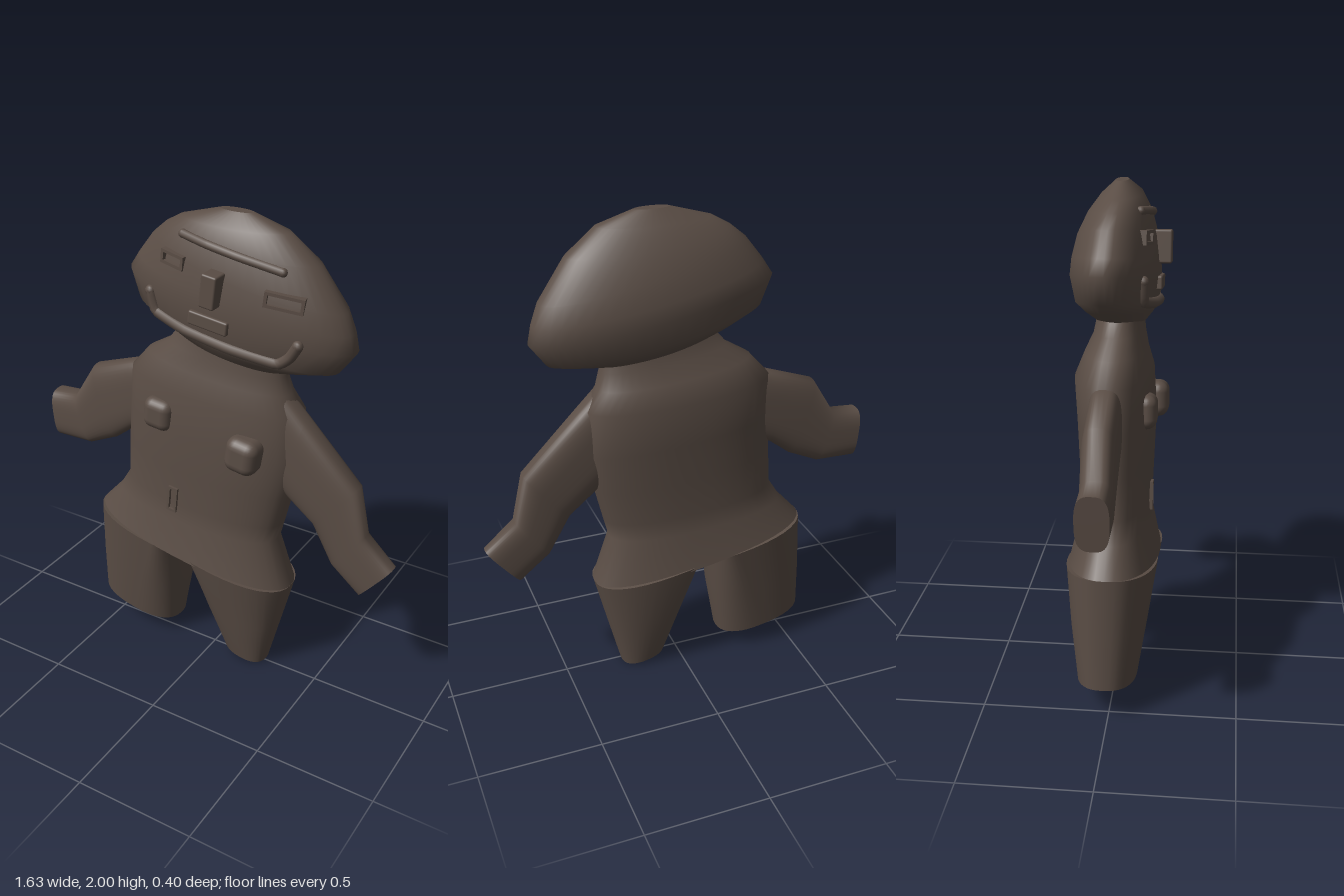
import * as THREE from 'three';
import { RoundedBoxGeometry } from 'three/addons/geometries/RoundedBoxGeometry.js';

const material = new THREE.MeshStandardMaterial({ color: 0x5a4d45 });

// Skin through sections [leftX, leftY, rightX, rightY, frontZ, backZ, widest = 0.5].
// power 2 gives oval sections, higher is boxier; widest is where the section is thickest.
function loft(sections, power = 2, n = 40) {
  const pos = [], idx = [];
  const bend = v => Math.sign(v) * Math.abs(v) ** (2 / power);
  const point = ([lx, ly, rx, ry, zf, zb, m = 0.5], j) => {
    const a = (j / n) * Math.PI * 2;
    const c = bend(Math.cos(a)), s = bend(Math.sin(a));
    const t = m + c * (c > 0 ? 1 - m : m);
    const mid = (zf + zb) / 2;
    return [lx + (rx - lx) * t, ly + (ry - ly) * t, mid + s * (zf - zb) / 2];
  };
  sections.forEach((sec, i) => {
    for (let j = 0; j < n; j++) {
      pos.push(...point(sec, j));
      if (i === sections.length - 1) continue;
      const a = i * n + j, b = i * n + (j + 1) % n;
      idx.push(a, a + n, b, b, a + n, b + n);
    }
  });
  // end caps with their own vertices for a crisp rim
  [sections[0], sections[sections.length - 1]].forEach((sec, e) => {
    const base = pos.length / 3, [lx, ly, rx, ry, zf, zb] = sec;
    pos.push((lx + rx) / 2, (ly + ry) / 2, (zf + zb) / 2);
    for (let j = 0; j < n; j++) pos.push(...point(sec, j));
    for (let j = 0; j < n; j++) {
      const a = base + 1 + j, b = base + 1 + (j + 1) % n;
      idx.push(base, ...(e ? [b, a] : [a, b]));
    }
  });
  // turn the skin outward whichever way the sections run
  let volume = 0;
  const v = k => new THREE.Vector3().fromArray(pos, idx[k] * 3);
  for (let k = 0; k < idx.length; k += 3) volume += v(k).dot(v(k + 1).cross(v(k + 2)));
  if (volume < 0) idx.reverse();
  const g = new THREE.BufferGeometry();
  g.setAttribute('position', new THREE.Float32BufferAttribute(pos, 3));
  g.setIndex(idx);
  g.computeVertexNormals();
  return g;
}

export function createModel() {
  const model = new THREE.Group();
  model.name = 'figure';
  const add = (name, geometry) => {
    const mesh = new THREE.Mesh(geometry, material);
    mesh.name = name;
    model.add(mesh);
    return mesh;
  };

  // tilted lens-shaped head
  const head = add('head', loft([
    [-0.16, 1.49, 0.31, 1.41, 0.09, -0.10],
    [-0.26, 1.545, 0.42, 1.43, 0.12, -0.15],
    [-0.35, 1.60, 0.52, 1.45, 0.14, -0.185],
    [-0.39, 1.71, 0.585, 1.54, 0.15, -0.205],
    [-0.35, 1.77, 0.57, 1.61, 0.145, -0.20],
    [-0.28, 1.86, 0.54, 1.69, 0.135, -0.18],
    [-0.22, 1.91, 0.43, 1.85, 0.11, -0.135],
    [-0.15, 1.95, 0.31, 1.95, 0.075, -0.085],
    [0.02, 2.0, 0.16, 2.0, 0.02, -0.03],
  ]));

  // torso from neck to hips
  const torso = add('torso', loft([
    [-0.56, 0.60, 0.365, 0.44, 0.17, -0.19],
    [-0.47, 0.70, 0.295, 0.65, 0.135, -0.155],
    [-0.42, 0.78, 0.315, 0.73, 0.13, -0.15],
    [-0.41, 0.95, 0.35, 0.88, 0.135, -0.155],
    [-0.40, 1.12, 0.39, 1.05, 0.14, -0.165],
    [-0.39, 1.29, 0.38, 1.24, 0.13, -0.175],
    [-0.31, 1.38, 0.33, 1.32, 0.105, -0.14],
    [-0.21, 1.44, 0.31, 1.39, 0.09, -0.11],
    [-0.16, 1.50, 0.30, 1.44, 0.085, -0.10],
  ], 2.3));

  // legs, thickest at the inner side where they leave the hips
  add('rightLeg', loft([
    [-0.56, 0.60, -0.14, 0.53, 0.17, -0.19, 0.82],
    [-0.57, 0.35, -0.155, 0.30, 0.135, -0.165, 0.66],
    [-0.575, 0.14, -0.19, 0.07, 0.10, -0.135, 0.55],
  ], 2.4));
  add('leftLeg', loft([
    [-0.08, 0.53, 0.365, 0.44, 0.17, -0.19, 0.18],
    [-0.01, 0.27, 0.31, 0.22, 0.12, -0.14, 0.35],
    [0.065, 0.04, 0.255, 0, 0.065, -0.09, 0.5],
  ], 2.4));

  // flat bent arms
  add('rightArm', loft([
    [-0.33, 1.31, -0.33, 1.00, 0.04, -0.09],
    [-0.40, 1.29, -0.41, 0.97, 0.04, -0.09],
    [-0.60, 1.22, -0.50, 0.90, 0.04, -0.09],
    [-0.70, 1.06, -0.63, 0.84, 0.04, -0.085],
    [-0.82, 1.05, -0.80, 0.835, 0.04, -0.085],
  ], 3));
  add('leftArm', loft([
    [0.32, 1.32, 0.28, 0.95, 0.06, -0.075],
    [0.41, 1.23, 0.35, 0.88, 0.06, -0.075],
    [0.64, 1.00, 0.46, 0.79, 0.05, -0.07],
    [0.685, 0.80, 0.55, 0.63, 0.045, -0.06],
    [0.81, 0.69, 0.675, 0.525, 0.04, -0.05],
  ], 3));

  // depth of the front surface at (x, y)
  const ray = new THREE.Raycaster();
  const surface = (mesh, x, y) => {
    ray.set(new THREE.Vector3(x, y, 2), new THREE.Vector3(0, 0, -1));
    const hit = ray.intersectObject(mesh)[0];
    return hit ? hit.point.z : 0;
  };
  const block = (name, host, x, y, w, h, d, out, tilt, radius = 0.008) => {
    const m = add(name, new RoundedBoxGeometry(w, h, d, 3, radius));
    m.position.set(x, y, surface(host, x, y) + out - d / 2);
    m.rotation.z = tilt;
    return m;
  };
  // thin rectangular rim around a sunken slot
  const rim = (name, host, x, y, w, h, t, tilt, yaw) => {
    const rect = (s, a, b) => s.moveTo(-a, -b).lineTo(a, -b).lineTo(a, b).lineTo(-a, b).closePath();
    const shape = rect(new THREE.Shape(), w / 2, h / 2);
    shape.holes.push(rect(new THREE.Path(), w / 2 - t, h / 2 - t));
    const m = add(name, new THREE.ExtrudeGeometry(shape, { depth: 0.04, bevelEnabled: false }));
    m.position.set(x, y, surface(host, x, y) - 0.028);
    m.rotation.set(0, yaw, tilt);
  };
  // ridge that follows the face
  const ridge = (name, points, r) => {
    const path = new THREE.CatmullRomCurve3(points.map(([x, y]) =>
      new THREE.Vector3(x, y, surface(head, x, y))), false, 'catmullrom', 0.2);
    add(name, new THREE.TubeGeometry(path, 40, r, 8));
    [0, 1].forEach(t => add(name + 'End', new THREE.SphereGeometry(r, 10, 8))
      .position.copy(path.getPoint(t)));
  };

  // face
  ridge('brow', [[-0.09, 1.905], [0.03, 1.89], [0.16, 1.87], [0.33, 1.835]], 0.017);
  rim('rightEye', head, -0.11, 1.81, 0.11, 0.055, 0.012, -0.12, -0.18);
  rim('leftEye', head, 0.345, 1.735, 0.15, 0.06, 0.012, -0.12, 0.25);
  block('nose', head, 0.08, 1.745, 0.065, 0.13, 0.09, 0.055, -0.12);
  block('mouth', head, 0.06, 1.61, 0.17, 0.055, 0.04, 0.015, -0.12);
  ridge('lip', [[-0.225, 1.665], [-0.20, 1.585], [-0.05, 1.55], [0.15, 1.52],
    [0.33, 1.495], [0.38, 1.53], [0.41, 1.58]], 0.022);

  // chest pockets and fly
  block('rightPocket', torso, -0.19, 1.155, 0.13, 0.135, 0.1, 0.035, -0.1, 0.04);
  block('leftPocket', torso, 0.205, 1.085, 0.14, 0.15, 0.12, 0.06, -0.14, 0.045);
  rim('fly', torso, -0.125, 0.78, 0.045, 0.115, 0.01, -0.1, 0);

  return model;
}
